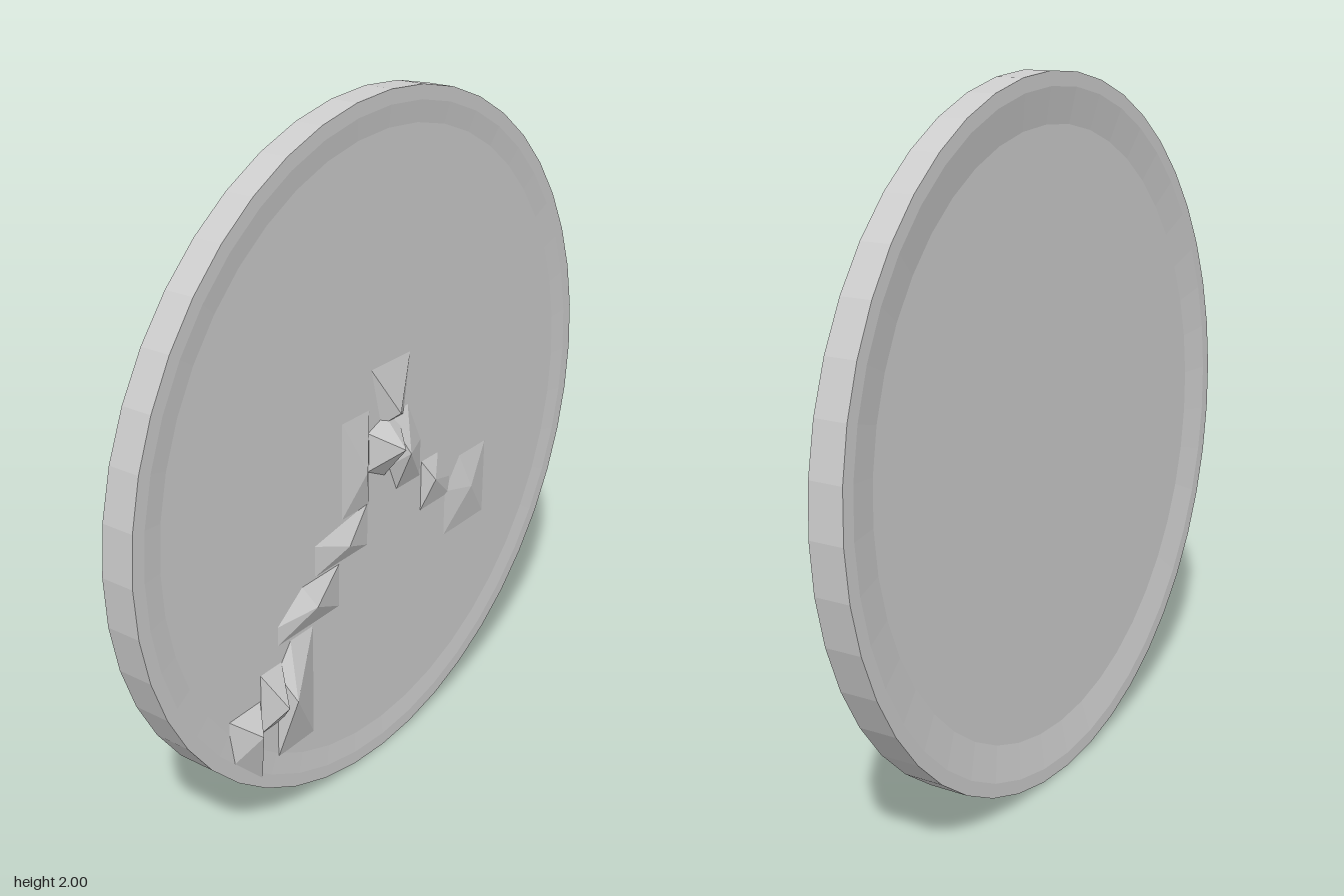
import * as THREE from 'three';

const material = new THREE.MeshStandardMaterial({ color: 0xcccccc, flatShading: true });

// Front of the dial: it leans slightly, so depth depends on height.
const faceZ = (y) => 0.025 + 0.0125 * (y - 1);

function addMesh(parent, name, geometry) {
  const flat = geometry.index ? geometry.toNonIndexed() : geometry;
  flat.computeVertexNormals();
  const mesh = new THREE.Mesh(flat, material);
  mesh.name = name;
  parent.add(mesh);
}

// Round plate with a shallow lip on both sides, sheared so the bottom is thicker.
function plateGeometry() {
  const profile = [
    [0, -0.05], [0.86, -0.05], [0.96, -0.068], [1, -0.068],
    [1, 0.032], [0.96, 0.032], [0.9, 0.025], [0, 0.025],
  ].map(([r, z]) => new THREE.Vector2(r, z));
  const geometry = new THREE.LatheGeometry(profile, 44).rotateX(Math.PI / 2);
  const pos = geometry.attributes.position;
  for (let i = 0; i < pos.count; i++) {
    const y = pos.getY(i), z = pos.getZ(i);
    pos.setZ(i, z + y * (z < 0 ? 0.031 : 0.0125));
  }
  return geometry.translate(0, 1, 0);
}

// Faceted chunk: a counterclockwise outline sunk in the dial, fanned to a peak.
function chunkGeometry(outline, peak) {
  const v = [];
  outline.forEach(([x, y], i) => {
    const [x2, y2] = outline[(i + 1) % outline.length];
    v.push(x, y, faceZ(y) - 0.002, x2, y2, faceZ(y2) - 0.002, ...peak);
  });
  const geometry = new THREE.BufferGeometry();
  geometry.setAttribute('position', new THREE.Float32BufferAttribute(v, 3));
  return geometry;
}

const rect = (x0, y0, x1, y1) => [[x0, y0], [x1, y0], [x1, y1], [x0, y1]];

export function createModel() {
  const model = new THREE.Group();
  model.name = 'wallClock';
  addMesh(model, 'dialPlate', plateGeometry());

  const parts = {
    // Centre cap and the short tail above it
    hub: [
      [[[-0.08, 0.95], [0, 0.91], [0.07, 0.95], [0.07, 1.06], [0, 1.1], [-0.08, 1.07]], [0, 1.01, 0.1]],
      [[[-0.02, 1.07], [0.09, 1.07], [0.12, 1.26], [-0.07, 1.26]], [0.03, 1.1, 0.06]],
    ],
    // Short hand towards the lower right
    hourHand: [
      [[[0.02, 0.93], [0.06, 0.84], [0.18, 0.84], [0.18, 0.96], [0.11, 1.1], [0.02, 1.08]], [0.06, 0.97, 0.075]],
      [[[0.18, 0.72], [0.34, 0.72], [0.34, 0.78], [0.27, 0.89], [0.18, 0.89]], [0.22, 0.82, 0.05]],
      [[[0.3, 0.74], [0.3, 0.58], [0.53, 0.58], [0.53, 0.84], [0.38, 0.84]], [0.42, 0.72, 0.045]],
    ],
    // Long hand towards the lower left
    minuteHand: [
      [rect(-0.2, 0.84, -0.07, 1.15), [-0.11, 0.97, 0.05]],
      [[[-0.32, 0.72], [-0.07, 0.72], [-0.07, 0.86], [-0.2, 0.84], [-0.32, 0.82]], [-0.2, 0.78, 0.055]],
      [[[-0.48, 0.58], [-0.2, 0.58], [-0.2, 0.72], [-0.37, 0.72], [-0.48, 0.64]], [-0.35, 0.66, 0.06]],
      [[[-0.48, 0.22], [-0.32, 0.22], [-0.32, 0.58], [-0.42, 0.58], [-0.48, 0.5]], [-0.46, 0.42, 0.075]],
      [rect(-0.55, 0.34, -0.46, 0.53), [-0.5, 0.42, 0.078]],
      [[[-0.68, 0.3], [-0.55, 0.17], [-0.55, 0.45], [-0.68, 0.45]], [-0.6, 0.38, 0.07]],
    ],
  };
  for (const [name, chunks] of Object.entries(parts)) {
    const group = new THREE.Group();
    group.name = name;
    chunks.forEach(([outline, peak], i) => addMesh(group, `${name}Facet${i + 1}`, chunkGeometry(outline, peak)));
    model.add(group);
  }
  return model;
}
